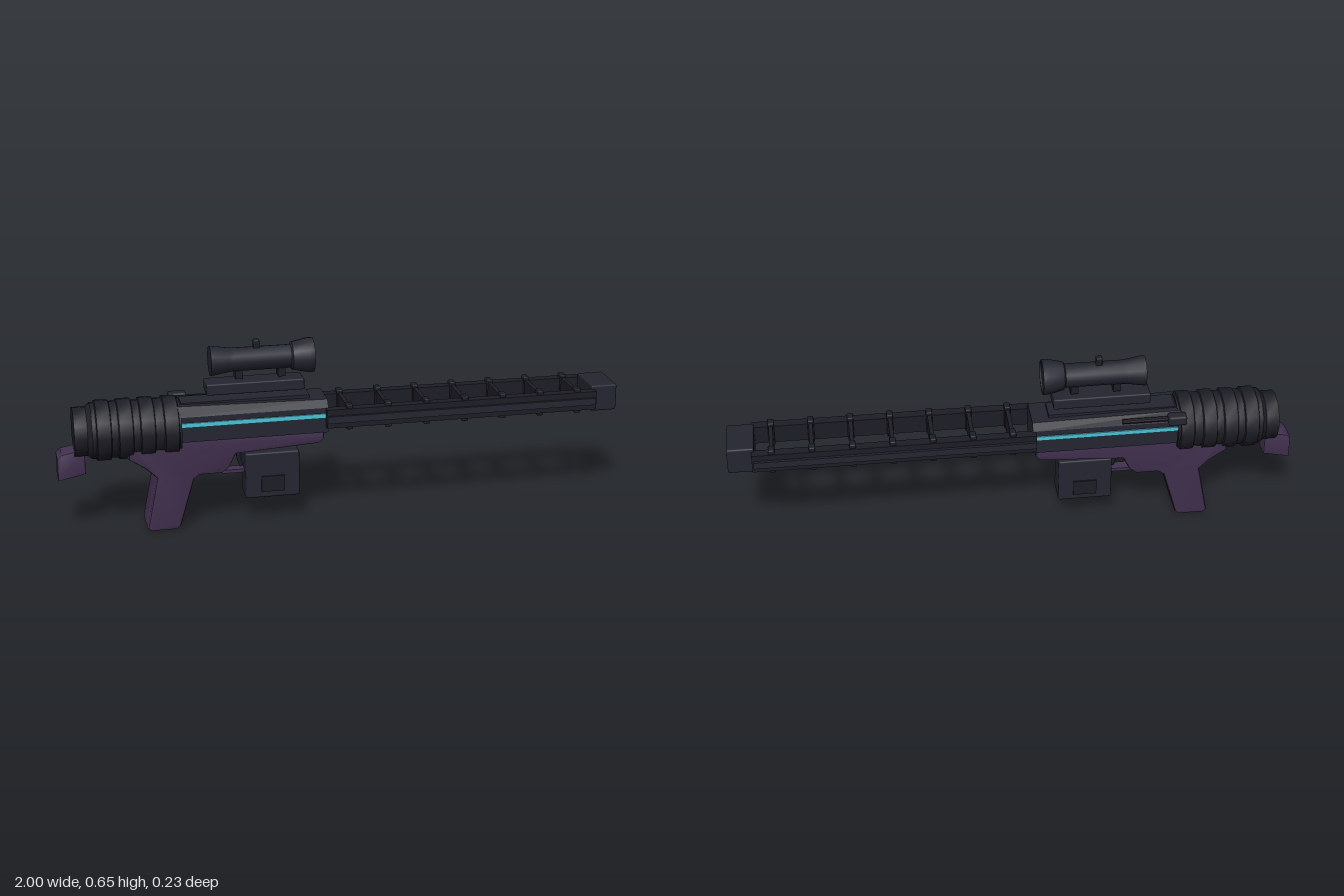
import * as THREE from 'three';
import { toCreasedNormals } from 'three/addons/utils/BufferGeometryUtils.js';
import { RoundedBoxGeometry } from 'three/addons/geometries/RoundedBoxGeometry.js';

export function createModel() {
  const root = new THREE.Group();
  root.name = 'rifle';
  const mat = (name, color) => {
    const m = new THREE.MeshStandardMaterial({ color });
    m.name = name;
    return m;
  };
  const steel = mat('dark steel', 0x242530);
  const black = mat('black steel', 0x1d1d26);
  const purple = mat('dark purple', 0x423150);
  const cyan = mat('cyan glow', 0x4cc3d6);

  const add = (name, geometry, material) => {
    const mesh = new THREE.Mesh(geometry, material);
    mesh.name = name;
    root.add(mesh);
    return mesh;
  };
  // Box given by its ranges on x, y and z, with an optional edge radius
  const box = (name, material, [x0, x1], [y0, y1], [z0, z1], r = 0) => {
    const s = [x1 - x0, y1 - y0, z1 - z0];
    const g = r ? new RoundedBoxGeometry(...s, 2, r) : new THREE.BoxGeometry(...s);
    return add(name, g.translate((x0 + x1) / 2, (y0 + y1) / 2, (z0 + z1) / 2), material);
  };
  // Turned part along x from [radius, x] pairs
  const turned = (name, material, pairs, y, z = 0, sides = 12) => {
    const g = new THREE.LatheGeometry(pairs.map(([r, x]) => new THREE.Vector2(r, x)), sides);
    g.rotateZ(-Math.PI / 2).translate(0, y, z);
    return add(name, toCreasedNormals(g, 0.6), material);
  };
  // Side outline extruded across z with bevelled edges
  const slab = (name, material, pts, half, bevel) => {
    const g = new THREE.ExtrudeGeometry(new THREE.Shape(pts.map(p => new THREE.Vector2(...p))), {
      depth: 2 * (half - bevel), bevelEnabled: true, bevelThickness: bevel,
      bevelSize: bevel, bevelOffset: -bevel, bevelSegments: 2,
    });
    return add(name, toCreasedNormals(g.translate(0, 0, bevel - half), 0.6), material);
  };

  // Rear drum with raised bands
  const drum = [[0, -0.94], [0.087, -0.94], [0.087, -0.895], [0.1, -0.88]];
  for (const x of [-0.84, -0.765, -0.69, -0.608]) {
    drum.push([0.1, x - 0.026], [0.107, x - 0.023], [0.107, x + 0.023], [0.1, x + 0.026]);
  }
  drum.push([0.1, -0.575], [0, -0.575]);
  turned('rearDrum', black, drum, 0.368);

  // Butt pad behind the drum
  slab('buttPad', purple, [[-1, 0.205], [-0.905, 0.225], [-0.905, 0.315], [-0.985, 0.3], [-1, 0.285]], 0.042, 0.004);

  // Lower frame with the grip
  slab('lowerFrame', purple, [
    [-0.76, 0.34], [-0.76, 0.275], [-0.7, 0.235], [-0.665, 0.2], [-0.702, 0.015], [-0.692, 0.003],
    [-0.598, 0.003], [-0.585, 0.015], [-0.535, 0.185], [-0.515, 0.2], [-0.435, 0.2], [-0.41, 0.22],
    [-0.385, 0.268], [-0.09, 0.285], [-0.072, 0.3], [-0.072, 0.34],
  ], 0.074, 0.012);

  // Receiver: chamfered section that narrows at the front
  const section = new THREE.Shape([
    [-0.08, 0.328], [0.08, 0.328], [0.08, 0.418], [0.062, 0.453], [-0.062, 0.453], [-0.08, 0.418],
  ].map(p => new THREE.Vector2(...p)));
  const receiver = new THREE.ExtrudeGeometry(section, { depth: 0.53, bevelEnabled: false });
  receiver.rotateY(Math.PI / 2).translate(-0.59, 0, 0);
  const pos = receiver.attributes.position;
  for (let i = 0; i < pos.count; i++) {
    if (pos.getX(i) > -0.1 && pos.getY(i) > 0.43) pos.setY(i, 0.444);
  }
  receiver.computeVertexNormals();
  add('receiver', receiver, steel);
  box('receiverRidge', steel, [-0.57, -0.12], [0.44, 0.457], [-0.04, 0.04]);

  // Glowing stripe on both sides
  for (const s of [-1, 1]) {
    box('glowStripe', cyan, [-0.575, -0.07], [0.382, 0.398], [s * 0.082 - 0.003, s * 0.082 + 0.003]);
  }

  // Bolt rod and knob on the right side
  turned('boltRod', black, [[0, -0.56], [0.009, -0.56], [0.009, -0.375], [0, -0.375]], 0.438, -0.085, 8);
  box('boltKnob', steel, [-0.6, -0.535], [0.421, 0.457], [-0.112, -0.072], 0.008);

  // Twin rails with an outer strip
  for (const s of [-1, 1]) {
    const span = (a, b) => (s > 0 ? [a, b] : [-b, -a]);
    box('rail', black, [-0.07, 0.915], [0.35, 0.417], span(0.07, 0.105));
    box('railStrip', steel, [-0.07, 0.91], [0.37, 0.395], span(0.1, 0.115));
    for (let i = 0; i < 7; i++) {
      const x = 0.012 + 0.139 * i;
      box('railClamp', black, [x - 0.011, x + 0.011], [0.339, 0.431], span(0.066, 0.1), 0.004);
    }
  }
  // Cross plates between the rails
  for (let i = 0; i < 7; i++) {
    const x = 0.012 + 0.139 * i;
    box('crossPlate', black, [x - 0.007, x + 0.007], [0.345, 0.42], [-0.075, 0.075]);
  }

  // Muzzle block
  box('muzzleBlock', steel, [0.905, 1], [0.334, 0.43], [-0.079, 0.079], 0.006);

  // Sight with mounting bar, feet and adjuster
  turned('scope', steel, [
    [0, -0.462], [0.053, -0.462], [0.052, -0.45], [0.044, -0.4], [0.042, -0.38], [0.042, -0.18],
    [0.05, -0.175], [0.062, -0.12], [0.062, -0.1], [0.054, -0.1], [0.054, -0.106], [0, -0.106],
  ], 0.591);
  box('scopeBar', steel, [-0.48, -0.137], [0.478, 0.518], [-0.042, 0.042], 0.005);
  for (const x of [-0.363, -0.213]) {
    box('scopeFoot', black, [x - 0.013, x + 0.013], [0.525, 0.56], [-0.021, 0.021]);
  }
  box('scopeAdjuster', black, [-0.31, -0.288], [0.625, 0.658], [-0.012, 0.012], 0.004);

  // Magazine with side plates
  box('magazine', steel, [-0.35, -0.158], [0.09, 0.257], [-0.049, 0.049], 0.006);
  for (const s of [-1, 1]) {
    box('magazinePlate', black, [-0.295, -0.212], [0.113, 0.17], [s * 0.05 - 0.004, s * 0.05 + 0.004]);
  }

  // Trigger and its guard
  const tube = (name, material, pts, r) => add(name, new THREE.TubeGeometry(
    new THREE.CatmullRomCurve3(pts.map(([x, y]) => new THREE.Vector3(x, y, 0))), 12, r, 6), material);
  tube('trigger', black, [[-0.36, 0.27], [-0.368, 0.235], [-0.358, 0.2]], 0.008);
  box('triggerGuard', purple, [-0.44, -0.345], [0.18, 0.192], [-0.02, 0.02]);
  box('triggerGuardPost', purple, [-0.442, -0.43], [0.18, 0.21], [-0.02, 0.02]);
  box('triggerMount', purple, [-0.36, -0.335], [0.25, 0.275], [-0.02, 0.02]);

  return root;
}
